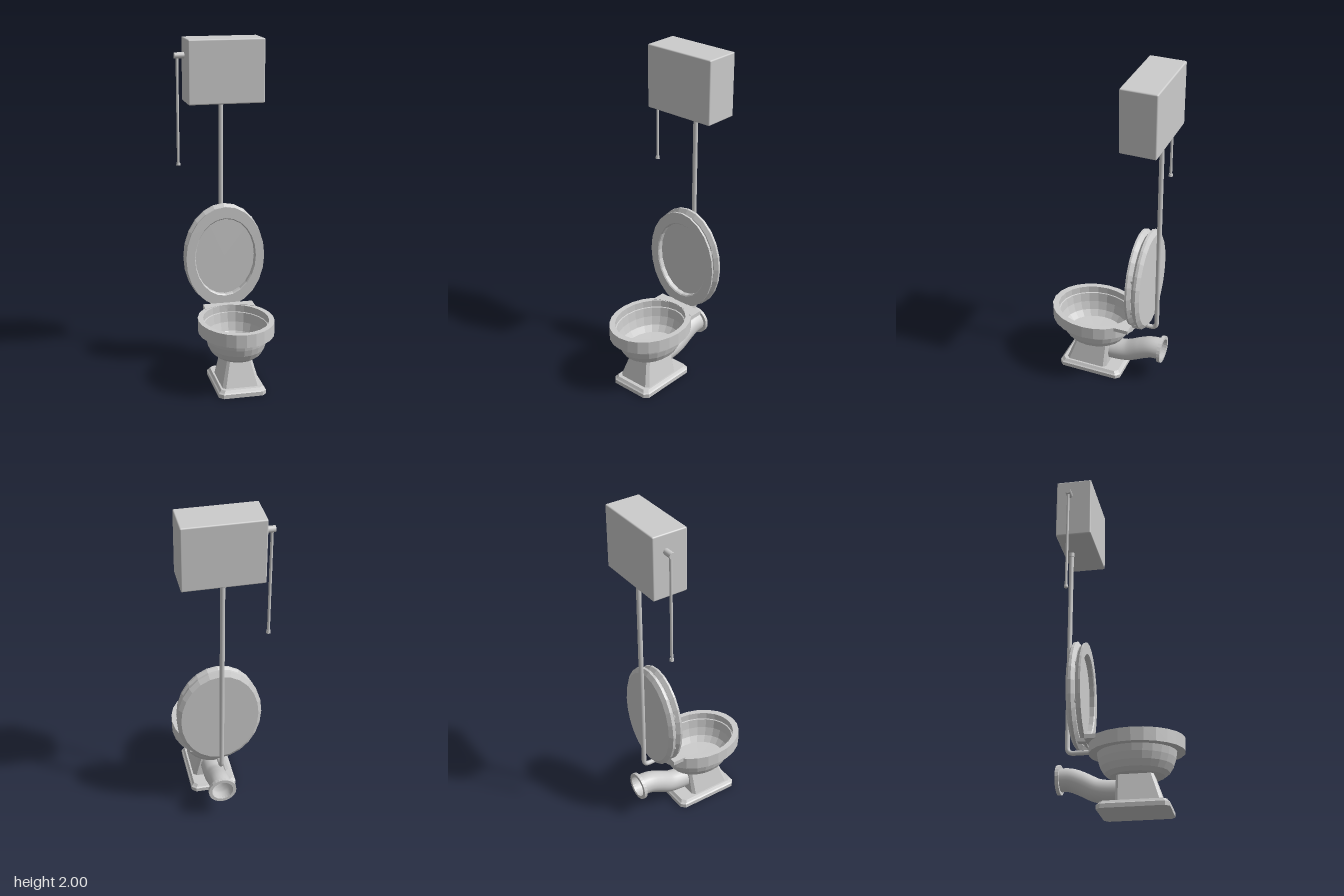
import * as THREE from 'three';
import { RoundedBoxGeometry } from 'three/addons/geometries/RoundedBoxGeometry.js';

const CX = 0.017; // centre line of bowl, lid and pipes
const flat = new THREE.MeshStandardMaterial({ color: 0xcccccc, flatShading: true, side: THREE.DoubleSide });
const smooth = new THREE.MeshStandardMaterial({ color: 0xcccccc, side: THREE.DoubleSide });

const V = (x, y, z) => new THREE.Vector3(x, y, z);

function add(parent, name, geometry, material, x = 0, y = 0, z = 0) {
  const mesh = new THREE.Mesh(geometry, material);
  mesh.name = name;
  mesh.position.set(x, y, z);
  parent.add(mesh);
}

// Lathe stretched along z into an oval
function oval(profile, stretch, sides = 24) {
  const points = profile.map(([r, y]) => new THREE.Vector2(r, y));
  return new THREE.LatheGeometry(points, sides).scale(1, 1, stretch);
}

// Stack of rectangles with cut corners: [y, half width, back z, front z, cut]
function chamferedLoft(sections) {
  const rings = sections.map(([y, w, z0, z1, c]) => [
    V(w, y, z0 + c), V(w, y, z1 - c), V(w - c, y, z1), V(c - w, y, z1),
    V(-w, y, z1 - c), V(-w, y, z0 + c), V(c - w, y, z0), V(w - c, y, z0),
  ]);
  const tris = [];
  for (let k = 0; k < rings.length - 1; k++) {
    for (let i = 0; i < 8; i++) {
      const j = (i + 1) % 8, lo = rings[k], hi = rings[k + 1];
      tris.push(lo[i], hi[i], hi[j], lo[i], hi[j], lo[j]);
    }
  }
  const bottom = rings[0], top = rings[rings.length - 1];
  for (let i = 1; i < 7; i++) {
    tris.push(bottom[0], bottom[i], bottom[i + 1], top[0], top[i + 1], top[i]);
  }
  const geometry = new THREE.BufferGeometry().setFromPoints(tris);
  geometry.computeVertexNormals();
  return geometry;
}

function buildBowl() {
  const bowl = new THREE.Group();
  bowl.name = 'bowl';
  // Outer wall, rim and inner wall in one profile
  add(bowl, 'basin', oval([
    [0, 0.2], [0.125, 0.2], [0.148, 0.22], [0.166, 0.255], [0.177, 0.295], [0.183, 0.335],
    [0.221, 0.335], [0.221, 0.412], [0.19, 0.412], [0.19, 0.37], [0.184, 0.368],
    [0.178, 0.31], [0.164, 0.258], [0.14, 0.222], [0, 0.216],
  ], 1.213), flat, CX, 0, 0.086);
  add(bowl, 'drain', new THREE.CylinderGeometry(0.037, 0.037, 0.004, 24), flat, CX, 0.2205, 0.086);

  // Flat shelf behind the rim, curved to stay clear of the opening
  const shelf = new THREE.Shape();
  shelf.moveTo(-0.142, 0.095);
  shelf.quadraticCurveTo(-0.07, 0.143, 0, 0.143);
  shelf.quadraticCurveTo(0.07, 0.143, 0.162, 0.095);
  shelf.lineTo(0.162, 0.182);
  shelf.lineTo(-0.142, 0.182);
  const shelfGeometry = new THREE.ExtrudeGeometry(shelf, { depth: 0.024, bevelEnabled: false, curveSegments: 8 });
  add(bowl, 'hingeShelf', shelfGeometry.rotateX(-Math.PI / 2), flat, CX, 0.39, 0);

  add(bowl, 'pedestal', chamferedLoft([
    [0.03, 0.115, -0.02, 0.243, 0.018], [0.205, 0.07, -0.02, 0.183, 0.014],
  ]), flat, CX);
  add(bowl, 'base', chamferedLoft([
    [0, 0.139, -0.118, 0.277, 0.024], [0.024, 0.139, -0.118, 0.277, 0.024],
    [0.03, 0.132, -0.111, 0.27, 0.022], [0.044, 0.122, -0.101, 0.26, 0.02],
  ]), flat, CX);
  return bowl;
}

function buildSeat() {
  const seat = new THREE.Group();
  seat.name = 'raisedSeatAndLid';
  const upright = (profile) => oval(profile, 1.3).rotateX(Math.PI / 2);
  add(seat, 'lid', upright([
    [0, -0.272], [0.225, -0.272], [0.246, -0.255], [0.246, -0.24], [0.225, -0.223], [0, -0.223],
  ]), flat, CX, 0.7);
  add(seat, 'seatRing', upright([
    [0.182, -0.22], [0.222, -0.22], [0.239, -0.2], [0.239, -0.188],
    [0.187, -0.188], [0.182, -0.194], [0.182, -0.22],
  ]), flat, CX, 0.7);
  for (const side of [-1, 1]) {
    for (const y of [0.59, 0.81]) {
      add(seat, 'bumper', new THREE.BoxGeometry(0.016, 0.02, 0.012), flat, CX + side * 0.2, y, -0.22);
    }
    add(seat, 'hinge', new THREE.BoxGeometry(0.04, 0.02, 0.07), flat, CX + side * 0.07, 0.402, -0.195);
  }
  return seat;
}

function buildOutlet() {
  const outlet = new THREE.Group();
  outlet.name = 'wasteOutlet';
  const path = new THREE.CatmullRomCurve3([
    V(CX, 0.123, -0.01), V(CX, 0.126, -0.07), V(CX, 0.138, -0.135),
    V(CX, 0.18, -0.22), V(CX, 0.203, -0.28), V(CX, 0.207, -0.352),
  ]);
  add(outlet, 'wastePipe', new THREE.TubeGeometry(path, 18, 0.065, 20), smooth);
  const flange = [[0.063, 0], [0.083, 0], [0.083, 0.02], [0.063, 0.02], [0.063, 0]];
  add(outlet, 'flange', oval(flange, 1).rotateX(Math.PI / 2), flat, CX, 0.207, -0.355);
  return outlet;
}

function buildCistern() {
  const cistern = new THREE.Group();
  cistern.name = 'highCistern';
  add(cistern, 'tank', new RoundedBoxGeometry(0.449, 0.37, 0.21, 3, 0.008), smooth, CX, 1.815, -0.249);
  // Flush lever and pull rod
  const lever = new THREE.CylinderGeometry(0.018, 0.018, 0.07, 14).rotateZ(Math.PI / 2);
  add(cistern, 'flushLever', lever, smooth, -0.23, 1.9, -0.273);
  add(cistern, 'pullRod', new THREE.CylinderGeometry(0.008, 0.008, 0.63, 10), smooth, -0.248, 1.58, -0.273);
  add(cistern, 'pullKnob', new THREE.CylinderGeometry(0.011, 0.013, 0.016, 10), smooth, -0.248, 1.267, -0.273);
  return cistern;
}

function buildFlushPipe() {
  const pipe = new THREE.Group();
  pipe.name = 'flushPipe';
  const x = 0.014, z = -0.305, r = 0.014;
  add(pipe, 'downPipe', new THREE.CylinderGeometry(r, r, 1.24, 12), smooth, x, 1.015, z);
  add(pipe, 'collar', new THREE.CylinderGeometry(0.018, 0.018, 0.03, 12), smooth, x, 1.62, z);
  const bend = new THREE.QuadraticBezierCurve3(V(0, 0.396, z), V(0, 0.357, z), V(0, 0.357, z + 0.035));
  add(pipe, 'elbow', new THREE.TubeGeometry(bend, 8, r, 12), smooth, x);
  const run = new THREE.CylinderGeometry(r, r, 0.13, 12).rotateX(Math.PI / 2);
  add(pipe, 'inletPipe', run, smooth, x, 0.357, z + 0.1);
  return pipe;
}

export function createModel() {
  const model = new THREE.Group();
  model.name = 'highTankToilet';
  model.add(buildBowl(), buildSeat(), buildOutlet(), buildCistern(), buildFlushPipe());
  return model;
}
